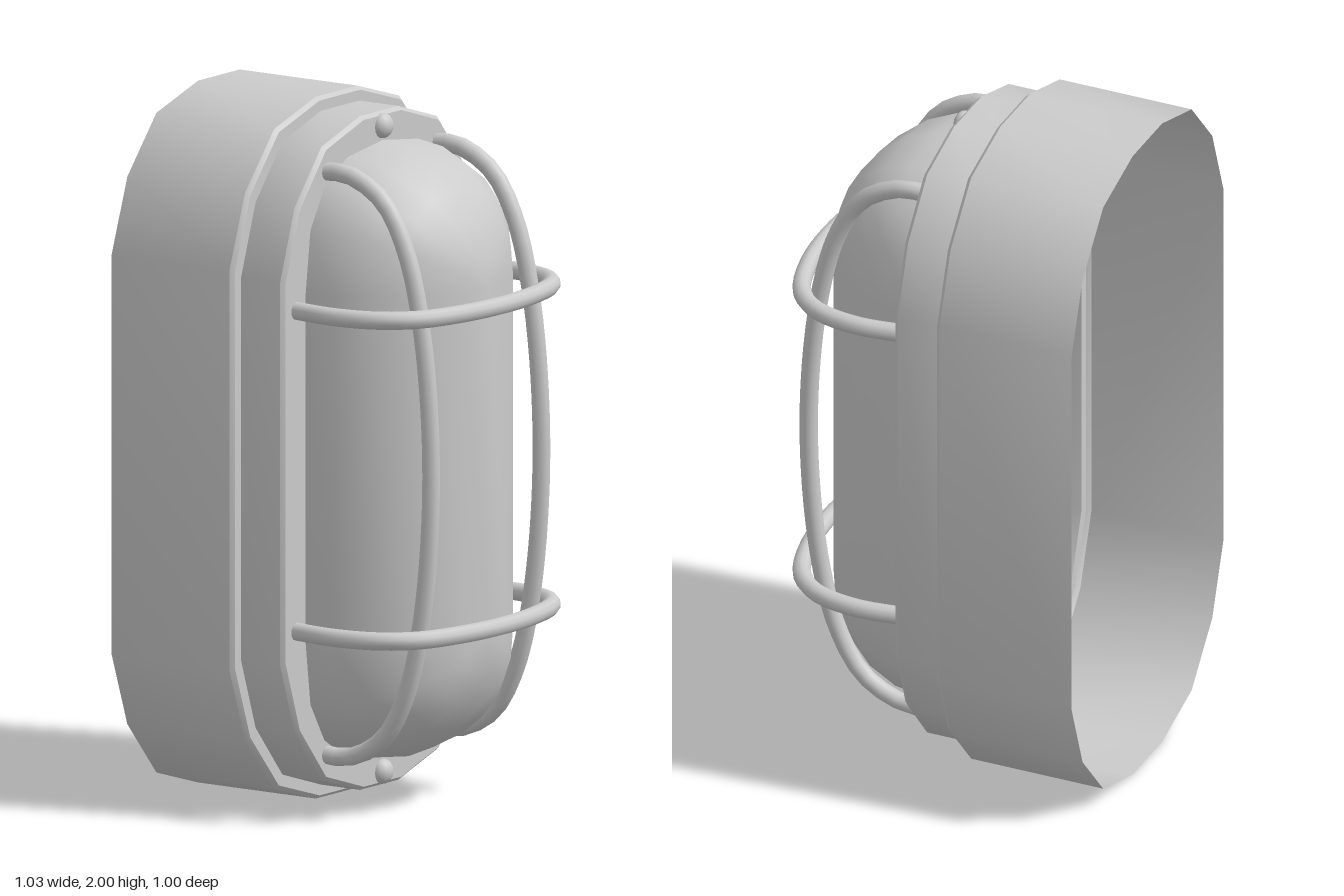
import * as THREE from 'three';
import { toCreasedNormals } from 'three/addons/utils/BufferGeometryUtils.js';

const MID = 1; // height of the lamp's centre
const mat = new THREE.MeshStandardMaterial({ color: 0xcccccc, side: THREE.DoubleSide });

// Skin a list of closed rings (counter-clockwise seen from the front, back to front).
function loft(rings, crease) {
  const n = rings[0].length, idx = [];
  for (let k = 0; k < rings.length - 1; k++) {
    for (let i = 0; i < n; i++) {
      const a = k * n + i, b = k * n + (i + 1) % n;
      idx.push(a, b, b + n, a, b + n, a + n);
    }
  }
  const g = new THREE.BufferGeometry();
  g.setAttribute('position', new THREE.Float32BufferAttribute(rings.flat(2), 3));
  g.setIndex(idx);
  return toCreasedNormals(g, crease);
}

// Mirror a first-quadrant outline (side to top) into a full ring.
function fourWay(q) {
  const r = [...q].reverse();
  return [...q, ...r.map(([x, y]) => [-x, y]), ...q.map(([x, y]) => [-x, -y]), ...r.map(([x, y]) => [x, -y])];
}

function add(parent, name, geometry) {
  const mesh = new THREE.Mesh(geometry, mat);
  mesh.name = name;
  parent.add(mesh);
  return mesh;
}

// Stepped shell, open at the back, with a flat rim around the glass
function housingGeometry() {
  const outline = fourWay([[0.515, 0.57], [0.44, 0.78], [0.3, 0.94], [0.1, 1]]);
  const profile = [ // inset, z
    [0, -0.505], [0, -0.1], [0.01, -0.088], [0.04, -0.088],
    [0.04, 0.046], [0.05, 0.058], [0.15, 0.058],
  ];
  return loft(profile.map(([inset, z]) =>
    outline.map(([x, y]) => [x * (1 - inset / 0.515), MID + y * (1 - inset), z])), 0.65);
}

// Outline of the glass, shrunk by s towards its upright spine
function glassRing(s, z) {
  const q = [];
  for (let i = 0; i <= 4; i++) {
    const a = (i / 4) * Math.PI / 2;
    const c = i === 4 ? 0 : Math.cos(a) ** 0.8;
    q.push([s * 0.37 * c, 0.5 + s * 0.38 * Math.sin(a) ** 0.8]);
  }
  // the top and bottom points are shared by both halves
  const ring = fourWay(q).filter((p, i) => i !== 5 && i !== 15);
  return ring.map(([x, y]) => [x, MID + y, z]);
}

function glassGeometry() {
  const rings = [];
  for (let i = 0; i <= 6; i++) {
    const a = (i / 6) * Math.PI / 2;
    rings.push(glassRing(i === 6 ? 0 : Math.cos(a), 0.05 + 0.375 * Math.sin(a)));
  }
  return loft(rings, 0.8);
}

// Bent rod from half a path of (across, z) points, mirrored; place() maps to 3D
function addRod(parent, name, half, place) {
  const pts = [...half, ...half.slice(0, -1).reverse().map(([u, z]) => [-u, z])];
  const curve = new THREE.CatmullRomCurve3(pts.map(([u, z]) => place(u, z)));
  const rod = new THREE.Group();
  rod.name = name;
  parent.add(rod);
  add(rod, 'rod', new THREE.TubeGeometry(curve, 40, 0.026, 10));
  for (const t of [0, 1]) {
    const cap = add(rod, 'rodEnd', new THREE.CircleGeometry(0.026, 10));
    cap.position.copy(curve.getPoint(t));
    cap.lookAt(cap.position.clone().addScaledVector(curve.getTangent(t), t ? 1 : -1));
  }
}

export function createModel() {
  const model = new THREE.Group();
  model.name = 'bulkheadLamp';

  add(model, 'housing', housingGeometry());
  add(model, 'glassDome', glassGeometry());

  // Flat panel closing the back of the glass
  const panel = new THREE.Shape(glassRing(1, 0).map(([x, y]) => new THREE.Vector2(x, y)));
  add(model, 'backPanel', new THREE.ShapeGeometry(panel)).position.z = 0.05;

  // Guard cage
  const cage = new THREE.Group();
  cage.name = 'guardCage';
  model.add(cage);
  const across = [[0.41, 0.04], [0.425, 0.2], [0.395, 0.33], [0.32, 0.41], [0.18, 0.457], [0, 0.475]];
  const upright = [[0.83, 0.04], [0.83, 0.13], [0.77, 0.245], [0.64, 0.325], [0.4, 0.385], [0, 0.415]];
  for (const s of [1, -1]) {
    addRod(cage, s > 0 ? 'upperCrossBar' : 'lowerCrossBar', across,
      (u, z) => new THREE.Vector3(u, MID + s * 0.457, z));
    addRod(cage, s > 0 ? 'leftUprightBar' : 'rightUprightBar', upright,
      (u, z) => new THREE.Vector3(s * 0.265, MID + u, z));

    // Domed screw head on the rim
    const screw = add(model, s > 0 ? 'topScrew' : 'bottomScrew',
      new THREE.SphereGeometry(0.036, 12, 8));
    screw.scale.z = 0.8;
    screw.position.set(0, MID + s * 0.92, 0.058);
  }
  return model;
}
